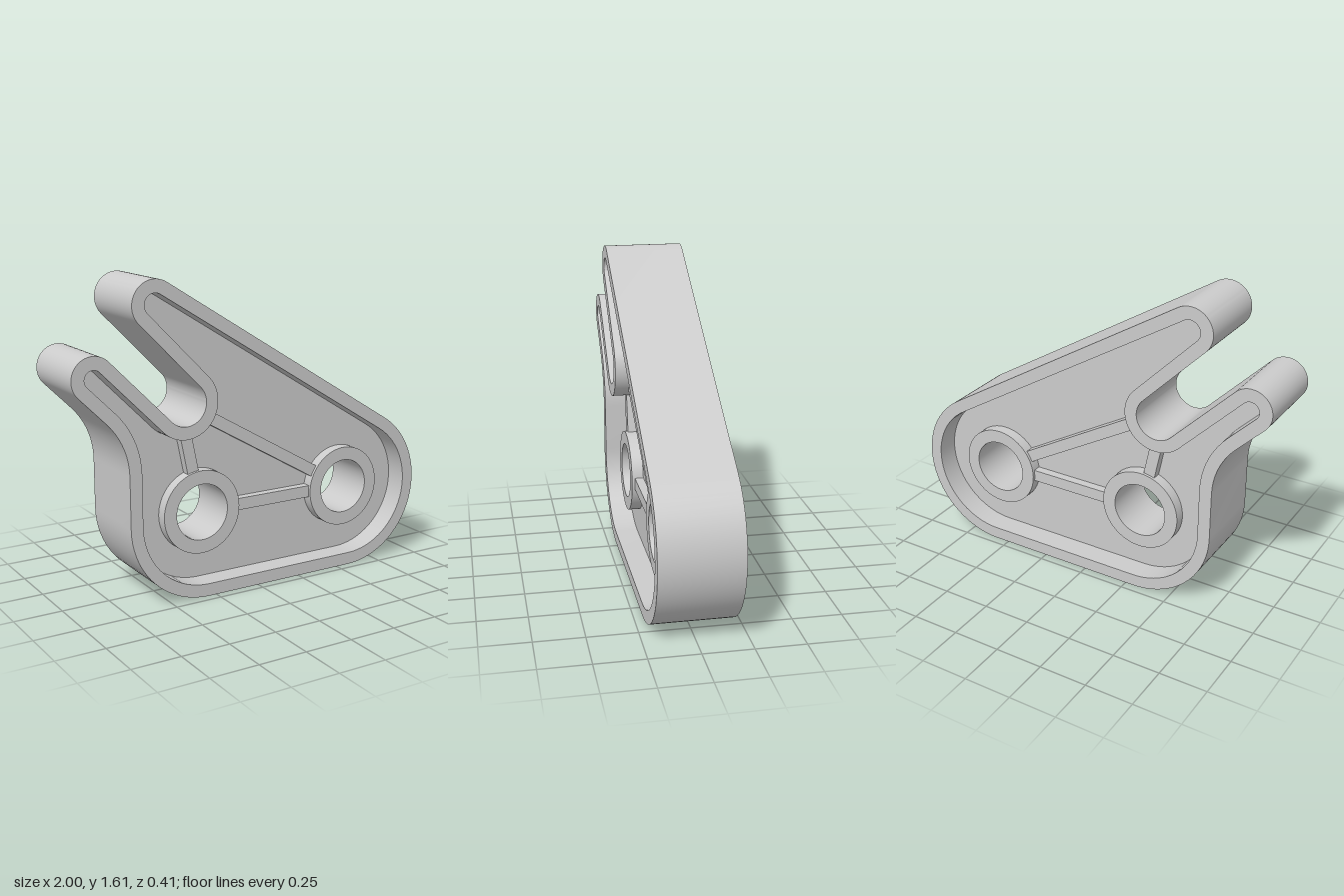
import * as THREE from 'three';
import { toCreasedNormals } from 'three/addons/utils/BufferGeometryUtils.js';

const DEPTH = 0.41, WALL = 0.065;
const BOSS_DEPTH = 0.29, RIB_DEPTH = 0.26, WEB_DEPTH = 0.17;
const BORE = 0.145, BOSS = 0.215;
const leftBore = new THREE.Vector2(-0.293, 0.425);
const rightBore = new THREE.Vector2(0.575, 0.425);
const slotEnd = new THREE.Vector2(-0.41, 1.0);

// Points along an arc, angles in degrees
function arc(x, y, r, from, to) {
  const n = Math.ceil(Math.abs(to - from) / 5);
  return Array.from({ length: n + 1 }, (_, i) => {
    const a = THREE.MathUtils.degToRad(from + (to - from) * i / n);
    return new THREE.Vector2(x + r * Math.cos(a), y + r * Math.sin(a));
  });
}

// Forked plate outline, moved inwards by d; straight edges join the arcs
function outline(d) {
  return [
    ...arc(rightBore.x, rightBore.y, 0.425 - d, -90, 58.3),
    ...arc(-0.57, 1.49, 0.12 - d, 58.3, 225),            // upper prong tip
    ...arc(slotEnd.x, slotEnd.y, 0.11 + d, 45, -135),    // slot end
    ...arc(-0.89, 1.17, 0.11 - d, 45, 225),              // lower prong tip
    ...arc(-1.103, 0.683, 0.385 + d, 45, 0),             // concave neck
    ...arc(leftBore.x, leftBore.y, 0.425 - d, 180, 270),
  ];
}

const circle = (c, r) => arc(c.x, c.y, r, 0, 355);

export function createModel() {
  const group = new THREE.Group();
  const material = new THREE.MeshStandardMaterial({ color: 0xcccccc });

  const add = (name, geometry) => {
    const mesh = new THREE.Mesh(geometry, material);
    mesh.name = name;
    group.add(mesh);
    return mesh;
  };

  // Plate of given thickness, centred on z = 0
  const plate = (name, points, holes, depth) => {
    const shape = new THREE.Shape(points);
    shape.holes = holes.map((h) => new THREE.Path(h));
    const geometry = new THREE.ExtrudeGeometry(shape, { depth, bevelEnabled: false });
    geometry.translate(0, 0, -depth / 2);
    return add(name, toCreasedNormals(geometry, 0.5));
  };

  // Outer wall, and the thin web recessed on both sides
  plate('rim', outline(0), [outline(WALL)], DEPTH);
  plate('web', outline(WALL / 2), [circle(leftBore, 0.18), circle(rightBore, 0.18)], WEB_DEPTH);

  // Bored bosses
  plate('leftBoss', circle(leftBore, BOSS), [circle(leftBore, BORE)], BOSS_DEPTH);
  plate('rightBoss', circle(rightBore, BOSS), [circle(rightBore, BORE)], BOSS_DEPTH);

  // Stiffening ribs, with ends buried in the bosses and slot wall
  const rib = (name, a, b, trimA, trimB) => {
    const dir = b.clone().sub(a).normalize();
    const p = a.clone().addScaledVector(dir, trimA);
    const q = b.clone().addScaledVector(dir, -trimB);
    const mesh = add(name, new THREE.BoxGeometry(p.distanceTo(q), 0.062, RIB_DEPTH));
    mesh.position.set((p.x + q.x) / 2, (p.y + q.y) / 2, 0);
    mesh.rotation.z = dir.angle();
  };
  rib('lowerRib', leftBore, rightBore, 0.18, 0.18);
  rib('diagonalRib', rightBore, slotEnd, 0.18, 0.14);
  rib('uprightRib', leftBore, slotEnd, 0.18, 0.14);

  return group;
}
